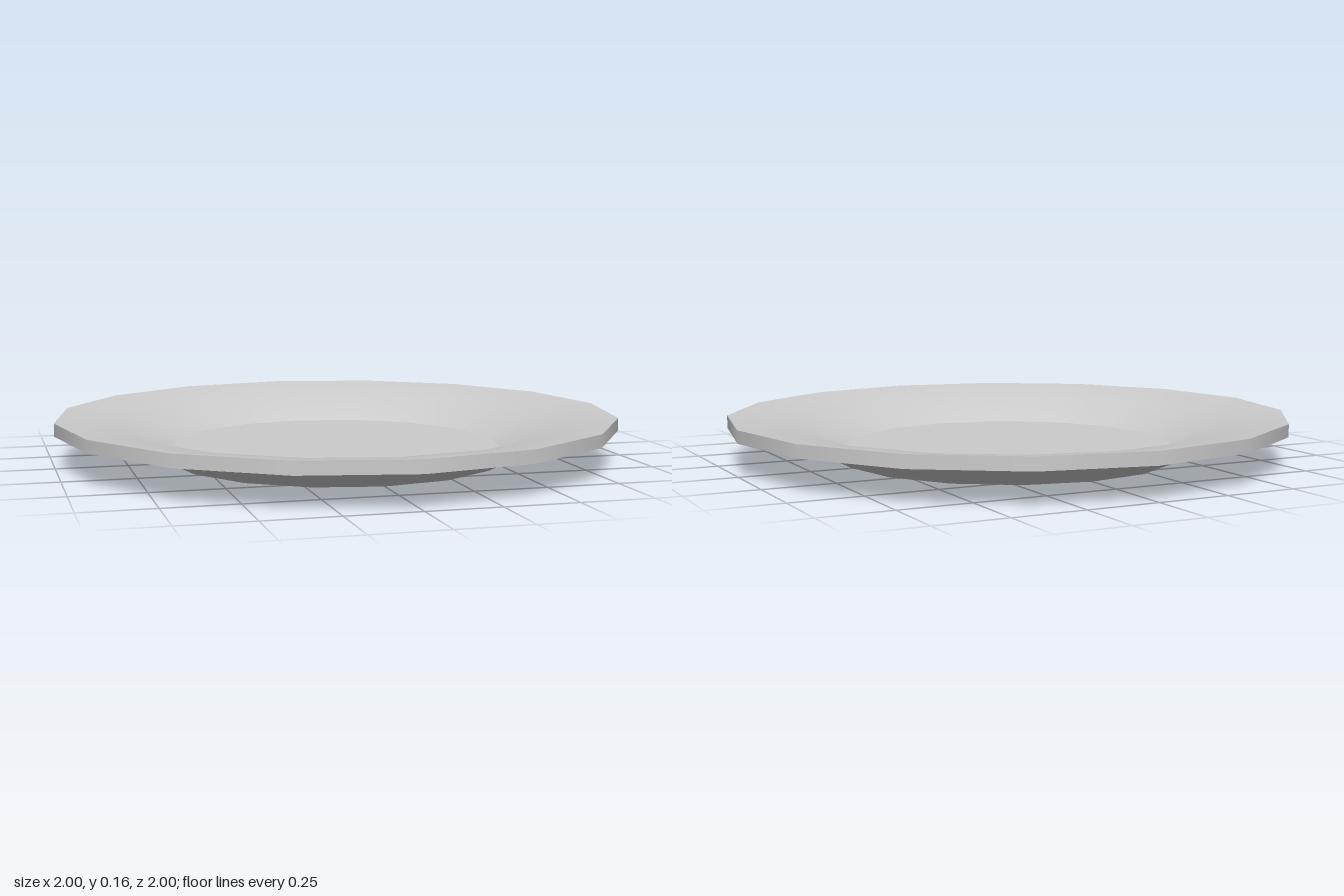
import * as THREE from 'three';

const SIDES = 16;

export function createModel() {
  const plate = new THREE.Group();
  plate.name = 'plate';
  const material = new THREE.MeshStandardMaterial({ color: 0xcccccc });

  // Each band is smooth in itself and meets its neighbours at a sharp edge.
  // Profiles run [radius, height] from the underside centre round to the top centre.
  const addBand = (name, profile) => {
    const points = profile.map(([r, y]) => new THREE.Vector2(r, y));
    const mesh = new THREE.Mesh(new THREE.LatheGeometry(points, SIDES), material);
    mesh.name = name;
    plate.add(mesh);
  };

  // Underside: recessed base inside a low foot ring
  addBand('recessedBase', [[0, 0.022], [0.56, 0.022]]);
  addBand('footInnerWall', [[0.56, 0.022], [0.57, 0]]);
  addBand('footRing', [[0.57, 0], [0.6, 0]]);
  addBand('outerSlope', [[0.6, 0], [0.78, 0.088], [1, 0.112]]);

  // Rim edge
  addBand('rimEdge', [[1, 0.112], [1, 0.157]]);

  // Top: broad rim sloping down to the flat well
  addBand('rimAndInnerSlope', [[1, 0.157], [0.78, 0.127], [0.59, 0.046]]);
  addBand('well', [[0.59, 0.046], [0, 0.046]]);

  return plate;
}
